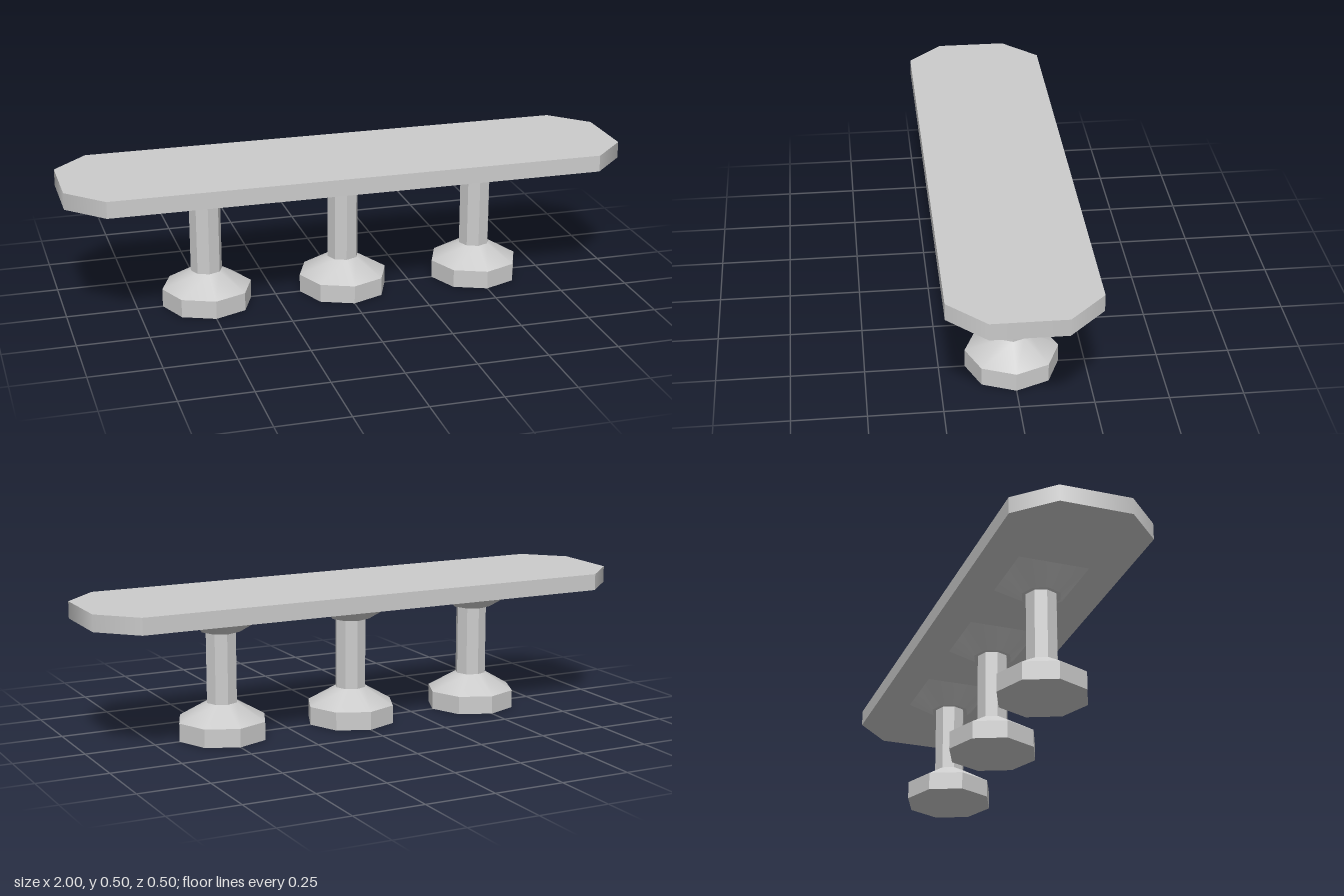
import * as THREE from 'three';
import { mergeVertices } from 'three/addons/utils/BufferGeometryUtils.js';

const SIDES = 8;
const smooth = new THREE.MeshStandardMaterial({ color: 0xcccccc });
const flat = new THREE.MeshStandardMaterial({ color: 0xcccccc, flatShading: true });

function addMesh(parent, name, geometry, material, y = 0) {
  const mesh = new THREE.Mesh(geometry, material);
  mesh.name = name;
  mesh.position.y = y;
  parent.add(mesh);
  return mesh;
}

// Slab with clipped corners; the three faces of each end shade as one soft curve
function tabletopGeometry(thickness) {
  const outline = [[0.875, 0.25], [-0.875, 0.25], [-1, 0.125], [-1, -0.125],
    [-0.875, -0.25], [0.875, -0.25], [1, -0.125], [1, 0.125]];
  const shape = new THREE.Shape(outline.map(([x, z]) => new THREE.Vector2(x, z)));
  const geo = new THREE.ExtrudeGeometry(shape, { depth: thickness, bevelEnabled: false });
  geo.rotateX(-Math.PI / 2);
  const { position, normal } = geo.attributes;
  const a = Math.PI / 8;
  for (let i = 0; i < position.count; i++) {
    const x = position.getX(i);
    if (Math.abs(x) > 0.99 && Math.abs(normal.getY(i)) < 0.5) {
      normal.setXYZ(i, Math.sign(x) * Math.cos(a), 0, Math.sign(position.getZ(i)) * Math.sin(a));
    }
  }
  return geo;
}

// Flared support: octagonal below, spreading to a square above
function capitalGeometry(bottomRadius, halfSquare, height) {
  const geo = new THREE.CylinderGeometry(1, bottomRadius, height, SIDES, 1, true);
  const p = geo.attributes.position;
  for (let i = 0; i < p.count; i++) {
    if (p.getY(i) < 0) continue;
    const x = p.getX(i), z = p.getZ(i);
    const k = halfSquare / Math.max(Math.abs(x), Math.abs(z));
    p.setXYZ(i, x * k, p.getY(i), z * k);
  }
  geo.deleteAttribute('uv');
  geo.deleteAttribute('normal');
  const merged = mergeVertices(geo);
  merged.computeVertexNormals();
  return merged;
}

function createPedestal() {
  const pedestal = new THREE.Group();
  pedestal.name = 'pedestal';
  addMesh(pedestal, 'foot', new THREE.CylinderGeometry(0.16, 0.16, 0.065, SIDES), flat, 0.0325);
  addMesh(pedestal, 'footSlope',
    new THREE.CylinderGeometry(0.056, 0.16, 0.061, SIDES, 1, true), smooth, 0.0955);
  addMesh(pedestal, 'column',
    new THREE.CylinderGeometry(0.056, 0.056, 0.251, SIDES, 1, true), flat, 0.2515);
  addMesh(pedestal, 'capital', capitalGeometry(0.07, 0.125, 0.066), smooth, 0.41);
  // Underside of the capital around the column
  const rim = new THREE.RingGeometry(0.056, 0.07, SIDES).rotateX(Math.PI / 2);
  addMesh(pedestal, 'capitalUnderside', rim, flat, 0.377);
  return pedestal;
}

export function createModel() {
  const model = new THREE.Group();
  model.name = 'table';
  addMesh(model, 'tabletop', tabletopGeometry(0.059), smooth, 0.443);
  for (const x of [-0.5, 0, 0.5]) {
    const pedestal = createPedestal();
    pedestal.position.x = x;
    model.add(pedestal);
  }
  return model;
}
